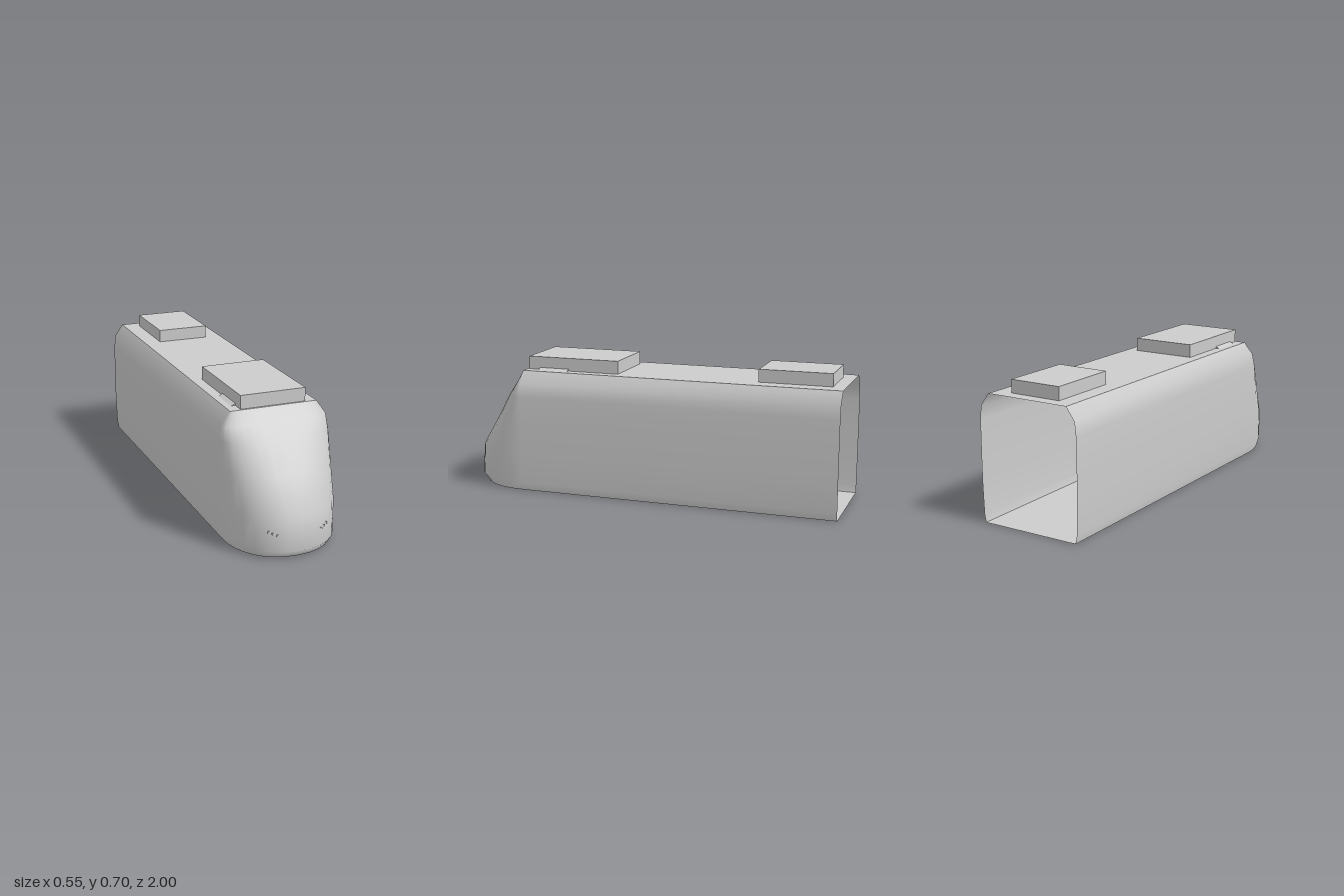
import * as THREE from 'three';

const NOSE_Z = 0.67; // where the straight body ends and the nose begins
const ROOF_Y = 0.633;
// Body levels: height, half width, nose tip z, roundness exponent of the nose plan
const LEVELS = [
  [0, 0.26, 0.965, 2.2],
  [0.04, 0.268, 1.0, 2.2],
  [0.2, 0.273, 0.985, 2.2],
  [0.36, 0.273, 0.878, 2.4],
  [0.5, 0.272, 0.784, 2.6],
  [0.57, 0.265, 0.718, 2.8],
  [ROOF_Y, 0.22, NOSE_Z, 3],
];
const STEPS = 16;

// Plan outline of one level, from the right rear corner round the nose to the left rear
function outline([, w, tip, n]) {
  const pts = [[-w, -1]];
  for (let i = 0; i <= STEPS; i++) {
    const a = Math.PI * (1 - i / STEPS);
    const c = Math.cos(a);
    const s = Math.max(0, Math.sin(a));
    pts.push([
      w * Math.sign(c) * Math.abs(c) ** (2 / n),
      NOSE_Z + (tip - NOSE_Z) * s ** (2 / n),
    ]);
  }
  pts.push([w, -1]);
  return pts;
}

// Nose surface z at a given x and y
function noseZ(x, y) {
  const k = LEVELS.findIndex((l) => l[0] > y);
  const t = (y - LEVELS[k - 1][0]) / (LEVELS[k][0] - LEVELS[k - 1][0]);
  const [, w, tip, n] = LEVELS[k].map((v, i) => THREE.MathUtils.lerp(LEVELS[k - 1][i], v, t));
  return NOSE_Z + (tip - NOSE_Z) * (1 - Math.abs(x / w) ** n) ** (1 / n);
}

// Smooth wall of sides and nose, open at the rear
function shellGeometry() {
  const pos = [];
  const index = [];
  const cols = STEPS + 3;
  LEVELS.forEach((level, r) => {
    outline(level).forEach(([x, z], c) => {
      pos.push(x, level[0], z);
      if (r < LEVELS.length - 1 && c < cols - 1) {
        const a = r * cols + c;
        index.push(a, a + 1, a + 1 + cols, a, a + 1 + cols, a + cols);
      }
    });
  });
  const g = new THREE.BufferGeometry();
  g.setAttribute('position', new THREE.Float32BufferAttribute(pos, 3));
  g.setIndex(index);
  g.computeVertexNormals();
  return g;
}

export function createModel() {
  const group = new THREE.Group();
  const grey = new THREE.MeshStandardMaterial({ color: 0xcccccc, side: THREE.DoubleSide });
  grey.name = 'light grey';

  const add = (name, geometry, x = 0, y = 0, z = 0) => {
    const mesh = new THREE.Mesh(geometry, grey);
    mesh.name = name;
    mesh.position.set(x, y, z);
    group.add(mesh);
    return mesh;
  };

  add('bodyShell', shellGeometry());

  // Floor follows the lowest outline
  const floor = new THREE.Shape(outline(LEVELS[0]).map(([x, z]) => new THREE.Vector2(x, z)));
  add('floor', new THREE.ShapeGeometry(floor).rotateX(Math.PI / 2));

  // Flat roof
  const roof = new THREE.PlaneGeometry(0.44, NOSE_Z + 1).rotateX(-Math.PI / 2);
  add('roof', roof, 0, ROOF_Y, (NOSE_Z - 1) / 2);

  // Rooftop equipment boxes
  add('frontRoofBox', new THREE.BoxGeometry(0.33, 0.067, 0.495), 0, ROOF_Y + 0.0335, 0.4125);
  add('rearRoofBox', new THREE.BoxGeometry(0.27, 0.065, 0.37), 0, ROOF_Y + 0.0325, -0.75);

  // Low sloped mount showing beside the front box
  const mount = new THREE.Shape([
    new THREE.Vector2(-0.187, 0), new THREE.Vector2(0.187, 0),
    new THREE.Vector2(0.165, 0.01), new THREE.Vector2(-0.165, 0.01),
  ]);
  add('roofMount', new THREE.ExtrudeGeometry(mount, { depth: 0.16, bevelEnabled: false }),
    0, ROOF_Y, 0.44);

  // Three small six-sided lamps on each side of the nose
  const lamp = new THREE.CylinderGeometry(0.0065, 0.0065, 0.009, 6).rotateX(Math.PI / 2);
  for (const side of [-1, 1]) {
    [[0.109, 0.12], [0.127, 0.127], [0.144, 0.134]].forEach(([x, y]) => {
      add(side > 0 ? 'leftLamp' : 'rightLamp', lamp, side * x, y, noseZ(x, y) - 0.002);
    });
  }
  return group;
}
